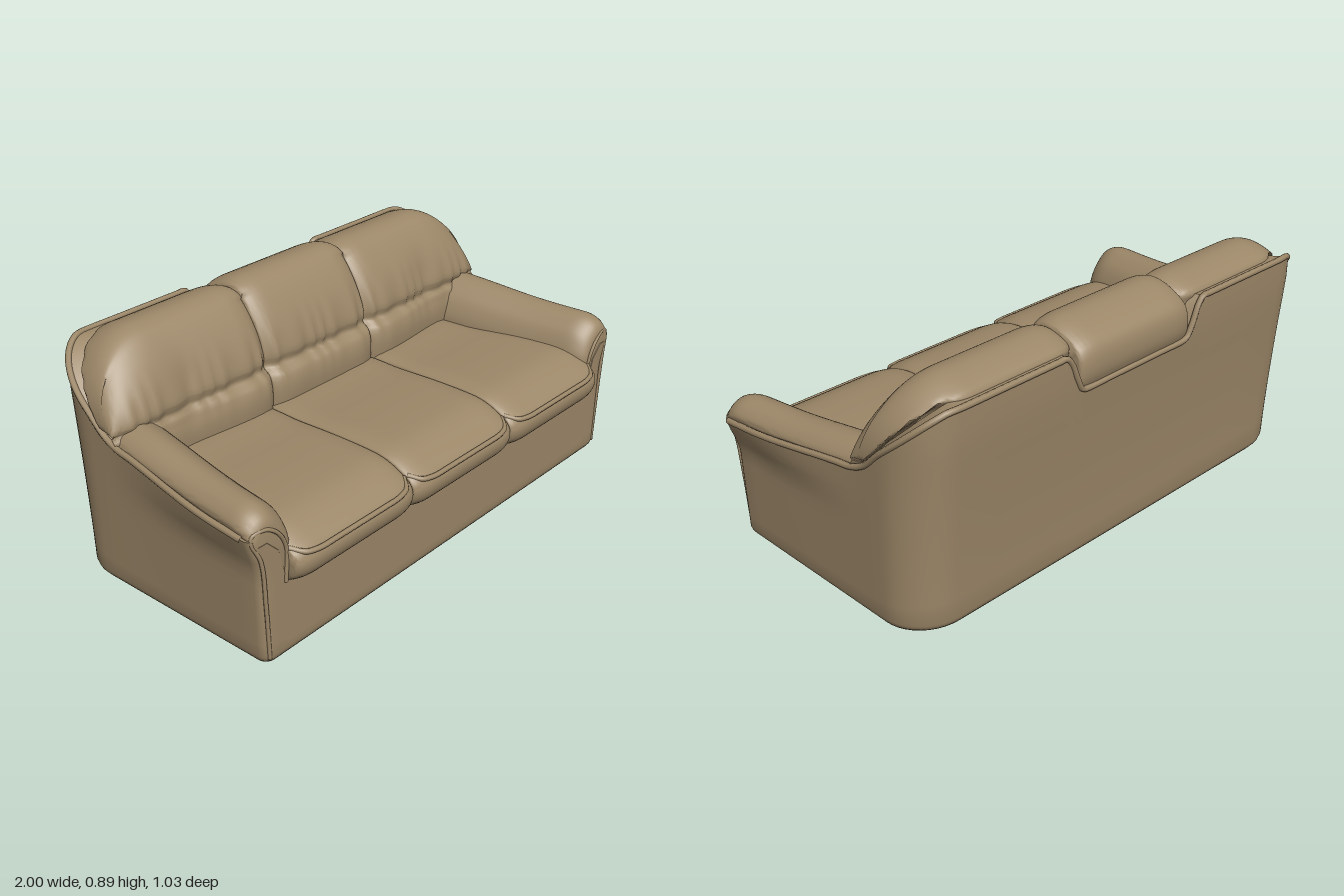
import * as THREE from 'three';
import { toCreasedNormals } from 'three/addons/utils/BufferGeometryUtils.js';

const V = (x, y, z) => new THREE.Vector3(x, y, z);
const clamp = THREE.MathUtils.clamp;
const lerp = THREE.MathUtils.lerp;
const smooth = THREE.MathUtils.smoothstep;

// Closed skin through rings of equal length, capped at both ends, facing outward
function loft(rings, crease = 0.9) {
  const n = rings[0].length, pts = rings.flat(), idx = [];
  for (let i = 0; i < rings.length - 1; i++) {
    for (let j = 0; j < n; j++) {
      const a = i * n + j, b = i * n + (j + 1) % n;
      idx.push(a, b, a + n, b, b + n, a + n);
    }
  }
  [0, rings.length - 1].forEach((r) => {
    const c = pts.length, mid = V(0, 0, 0);
    rings[r].forEach((p) => mid.add(p));
    pts.push(mid.divideScalar(n));
    for (let j = 0; j < n; j++) {
      const a = r * n + j, b = r * n + (j + 1) % n;
      if (r === 0) idx.push(c, b, a); else idx.push(c, a, b);
    }
  });
  // Turn the faces around if the enclosed volume comes out negative
  let volume = 0;
  const t = V(0, 0, 0);
  for (let i = 0; i < idx.length; i += 3) {
    volume += pts[idx[i]].dot(t.crossVectors(pts[idx[i + 1]], pts[idx[i + 2]]));
  }
  if (volume < 0) idx.reverse();
  const geo = new THREE.BufferGeometry().setFromPoints(pts);
  geo.setIndex(idx);
  return toCreasedNormals(geo, crease);
}

// Smooth closed outline through a few [a, b] points
function outline(points, count) {
  const curve = new THREE.CatmullRomCurve3(points.map(([a, b]) => V(a, b, 0)), true, 'centripetal');
  return curve.getPoints(count).slice(0, count);
}

// Plan of the outer shell: half from front centre to back centre, then mirrored
function planPoints() {
  const half = [];
  [0, 0.2, 0.4, 0.6, 0.8, 0.835, 0.85, 0.88].forEach((x) => half.push([x, 0.455]));
  for (let i = 0; i <= 5; i++) {
    const a = (i / 5) * Math.PI / 2;
    half.push([0.905 + 0.035 * Math.sin(a), 0.42 + 0.035 * Math.cos(a)]);
  }
  for (let i = 1; i <= 12; i++) half.push([0.94, lerp(0.42, -0.3, i / 12)]);
  for (let i = 1; i <= 10; i++) {
    const a = (i / 10) * Math.PI / 2;
    half.push([0.77 + 0.17 * Math.cos(a), -0.3 - 0.16 * Math.sin(a)]);
  }
  [0.6, 0.45, 0.36, 0.335, 0.31, 0.285, 0.26, 0.24, 0.12, 0].forEach((x) => half.push([x, -0.46]));
  const other = half.slice(1, -1).reverse().map(([x, z]) => [-x, z]);
  return half.concat(other);
}

// Height of the shell's upper edge at a plan point
function rimHeight(x, z) {
  const ax = Math.abs(x);
  if (z > 0.45) return lerp(0.29, 0.475, smooth(ax, 0.83, 0.86));
  if (z > -0.22) return lerp(0.5, 0.57, (0.455 - z) / 0.675);
  const slope = lerp(0.57, 0.83, clamp((-0.22 - z) / 0.235, 0, 1));
  return z < -0.45 ? lerp(0.69, slope, smooth(ax, 0.25, 0.335)) : slope;
}

// Shell point at height y, leaning outward as it rises
function shellPoint(x, z, y, inset = 0) {
  const front = smooth(z, -0.25, 0.3);
  const flare = 1 + (0.01 + 0.015 * front) * y + 0.042 * front * smooth(y, 0.36, 0.52);
  const lean = z < -0.2 ? 0.048 * Math.min(1, y / 0.72) ** 1.5 * smooth(-z, 0.2, 0.46) : 0;
  return V(x * flare * (1 - inset), y, (z - lean) * (1 - 2 * inset));
}

const arcEase = (e) => Math.sqrt(1 - (1 - clamp(e, 0, 1)) ** 2);
const bump = (v, centre, width) => Math.exp(-(((v - centre) / width) ** 2));

// Back cushion lofted sideways, with seam pinches, pleats and a rounded wing end
function backCushion(a, b, wing) {
  const section = outline([
    [-0.15, 0.4], [-0.122, 0.5], [-0.135, 0.575], [-0.168, 0.605], [-0.163, 0.64],
    [-0.19, 0.73], [-0.25, 0.83], [-0.3, 0.88], [-0.36, 0.894], [-0.44, 0.872],
    [-0.505, 0.825], [-0.518, 0.74], [-0.495, 0.67], [-0.44, 0.5], [-0.42, 0.4]], 64);
  const rings = [], steps = 64;
  for (let i = 0; i <= steps; i++) {
    const t = (1 - Math.cos(Math.PI * i / steps)) / 2;
    const x = lerp(a, b, t);
    const edge = wing ? x - a : Math.min(x - a, b - x);
    const k = 0.9 + 0.1 * arcEase(edge / 0.09);
    const w = wing ? clamp((x - 0.7) / 0.25, 0, 1) : 0;
    const top = wing ? 0.62 + 0.263 * Math.sqrt(1 - w ** 2) : 0.894;
    const back = -0.34 - 0.175 * Math.sqrt(1 - w ** 2.5);
    rings.push(section.map((p) => {
      let z = -0.16 + (p.x + 0.16) * (p.x < -0.16 ? (back + 0.16) / -0.358 : 1);
      let y = p.y > 0.6 ? 0.6 + (p.y - 0.6) * (top - 0.6) / 0.296 : p.y;
      z = -0.33 + (z + 0.33) * k;
      y = 0.6 + (y - 0.6) * k;
      if (p.x > -0.28) {
        z += 0.005 * bump(p.y, 0.64, 0.08) * Math.sin(x * 85 + 2 * Math.sin(x * 23));
        // Deeper seams, a lumbar roll fading sideways and a hollow before the wing
        z -= 0.02 * (1 - arcEase(edge / 0.1)) + 0.025 * w ** 4;
        if (wing) z -= 0.025 * smooth(x, 0.35, 0.7) * smooth(0.62 - p.y, 0, 0.06) + 0.015 * bump(x, 0.63, 0.08) * bump(p.y, 0.68, 0.1);
      }
      // Below the rim the cushion tucks in behind the shell
      const tuck = wing ? smooth(rimHeight(0.9, z) + 0.015 - y, 0, 0.05) : 0;
      if (p.x < -0.3) z += 0.045 * tuck;
      return V(x - 0.09 * w * tuck, y, z);
    }));
  }
  return loft(rings, 1.2);
}

// Seat cushion whose outer side follows the inner face of the arm
function seatCushion(aFront, bFront, bBack) {
  const section = outline([
    [-0.22, 0.455], [0, 0.472], [0.25, 0.478], [0.38, 0.468], [0.455, 0.435],
    [0.5, 0.4], [0.512, 0.36], [0.497, 0.315], [0.45, 0.283], [0.35, 0.28], [-0.22, 0.3]], 52);
  const rings = [], steps = 32;
  for (let i = 0; i <= steps; i++) {
    const t = (1 - Math.cos(Math.PI * i / steps)) / 2;
    const k = 0.9 + 0.1 * arcEase(Math.min(t, 1 - t) / 0.16);
    rings.push(section.map((p) => {
      const b = lerp(bBack, bFront, smooth(p.x, -0.2, 0.45));
      return V(lerp(aFront, b, t), 0.37 + (p.y - 0.37) * (2 * k - 1), p.x * (0.5 + 0.5 * k));
    }));
  }
  return loft(rings, 1.2);
}

// Rolled arm pad lofted from front to back
function armPad() {
  const section = outline([
    [0.95, 0.5], [1, 0.53], [0.9, 0.562], [0.62, 0.584], [0.36, 0.56], [0.14, 0.505],
    [0.03, 0.43], [0.1, 0.32], [0.65, 0.32], [0.75, 0.45]], 44);
  const rings = [];
  for (let i = 0; i <= 30; i++) {
    const t = (i / 30) ** 1.6;
    const z = lerp(0.453, -0.28, t);
    const round = 1 - arcEase((0.453 - z) / 0.09);
    const inner = lerp(0.79, 0.69, t) + 0.04 * round;
    const outer = lerp(0.993, 0.928, t) - 0.03 * round;
    rings.push(section.map((p) => V(lerp(inner, outer, p.x),
      p.y + 0.045 * t - 0.01 * bump(t, 0.4, 0.3) - 0.06 * round * smooth(p.y, 0.4, 0.56), z)));
  }
  return loft(rings, 1);
}

export function createModel() {
  const sofa = new THREE.Group();
  sofa.name = 'sofa';
  const leather = new THREE.MeshStandardMaterial({ color: 0x9c8768 });
  leather.name = 'tan leather';
  const dark = new THREE.MeshStandardMaterial({ color: 0x2e2720 });
  dark.name = 'dark feet';

  const add = (name, geo, mat = leather) => {
    const mesh = new THREE.Mesh(geo, mat);
    mesh.name = name;
    sofa.add(mesh);
    return mesh;
  };
  const piping = (name, pts, r, segments = 80) => add(name,
    new THREE.TubeGeometry(new THREE.CatmullRomCurve3(pts, false, 'centripetal'), segments, r, 8));
  const mirrored = (geo) => {
    const g = geo.clone().scale(-1, 1, 1);
    // Swap corners so the mirrored faces still look outward
    for (const { array, itemSize: m } of Object.values(g.attributes)) {
      for (let i = 0; i < array.length; i += m * 3) {
        for (let k = i; k < i + m; k++) [array[k], array[k + m]] = [array[k + m], array[k]];
      }
    }
    return g;
  };
  const pair = (name, geo) => {
    add('left' + name, geo);
    add('right' + name, mirrored(geo));
  };

  // Upholstered outer shell with its hollow for the seat
  const plan = planPoints();
  const ring = (y, inset) => plan.map(([x, z]) => shellPoint(x, z, y, inset));
  const rings = [ring(0.022, 0.03), ring(0.027, 0.014), ring(0.038, 0.005), ring(0.055, 0)];
  for (let i = 1; i <= 10; i++) {
    rings.push(plan.map(([x, z]) => shellPoint(x, z, lerp(0.055, rimHeight(x, z), i / 10))));
  }
  rings.push(plan.map(([x, z]) => shellPoint(x, z, rimHeight(x, z), 0.05)), ring(0.27, 0.07));
  add('outerShell', loft(rings, 0.8));

  // Piping along the shell's upper edge and down the arm fronts
  const rim = plan.filter(([x, z]) => z <= 0.42).map(([x, z]) => shellPoint(x, z, rimHeight(x, z), 0.003));
  piping('rimPiping', rim, 0.011, 220);
  for (const s of [1, -1]) {
    const side = s > 0 ? 'left' : 'right';
    piping(side + 'ArmFrontPiping', [
      V(s * 0.92, 0.05, 0.45), V(s * 0.93, 0.25, 0.452), V(s * 0.945, 0.42, 0.452),
      V(s * 0.972, 0.49, 0.442), V(s * 0.968, 0.513, 0.44), V(s * 0.925, 0.522, 0.45),
      V(s * 0.875, 0.49, 0.455), V(s * 0.84, 0.425, 0.455), V(s * 0.845, 0.3, 0.455)], 0.007);
  }

  // Cushions and arms
  pair('ArmPad', armPad());
  add('middleSeatCushion', seatCushion(-0.275, 0.275, 0.275));
  pair('SeatCushion', seatCushion(0.275, 0.84, 0.73));
  add('middleBackCushion', backCushion(-0.268, 0.268, false));
  pair('BackCushion', backCushion(0.262, 0.95, true));

  // Piping around the seat cushion fronts
  [[-0.84, -0.275], [-0.275, 0.275], [0.275, 0.84]].forEach(([a, b], i) => {
    const pts = [];
    for (let k = 0; k <= 16; k++) {
      const t = k / 16, bow = arcEase(Math.min(t, 1 - t) / 0.2);
      pts.push(V(lerp(a + 0.008, b - 0.008, t), 0.415 - 0.018 * bow, 0.455 + 0.054 * bow));
    }
    piping('seatPiping' + (i + 1), pts, 0.009, 48);
  });

  // Feet
  for (const x of [-0.84, 0.84]) {
    for (const z of [0.367, -0.295]) {
      add('foot', new THREE.CylinderGeometry(0.036, 0.032, 0.034, 20), dark).position.set(x, 0.017, z);
    }
  }
  return sofa;
}
